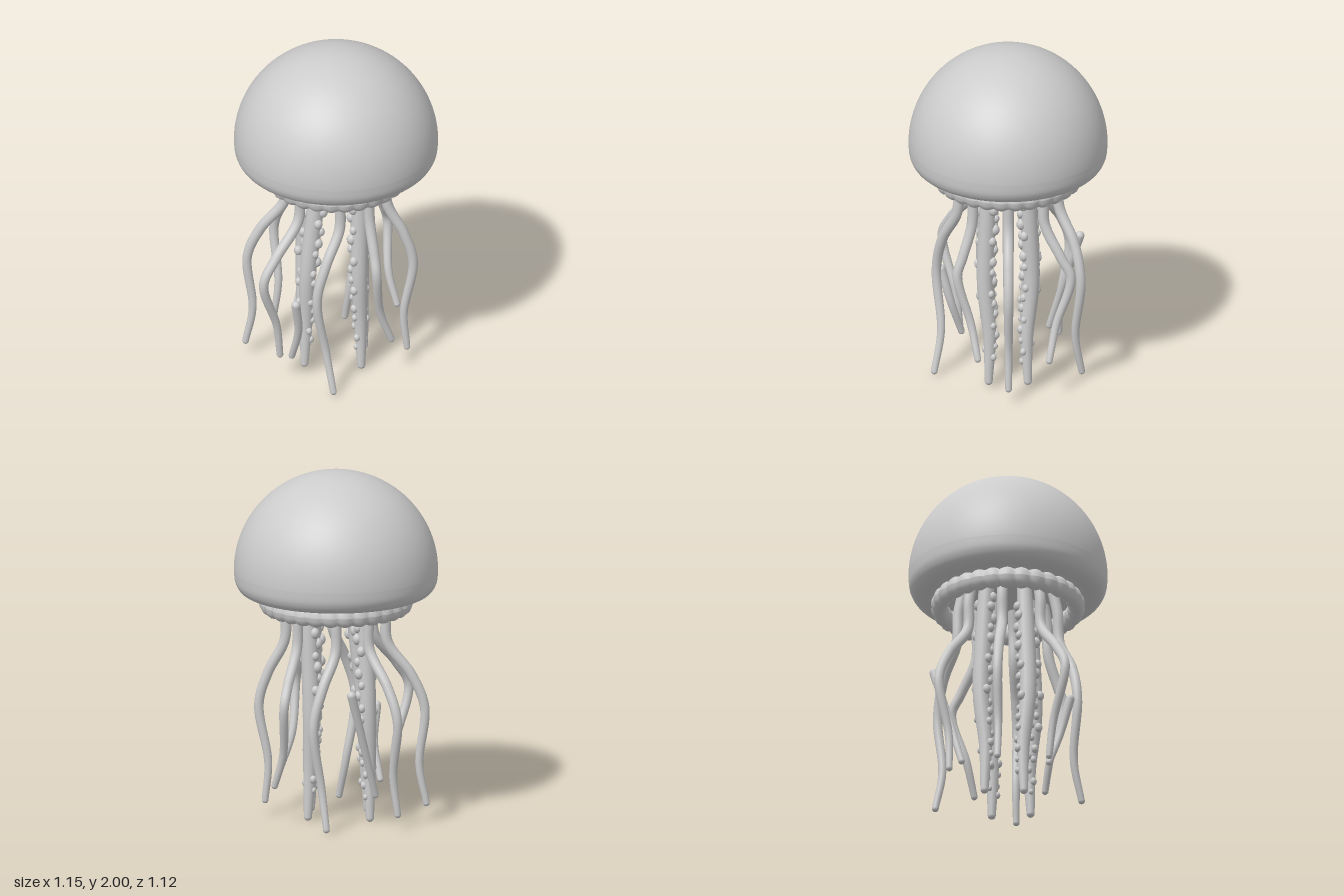
import * as THREE from 'three';

const material = new THREE.MeshStandardMaterial({ color: 0xcccccc });
const { lerp, degToRad } = THREE.MathUtils;

function addMesh(parent, geometry, name) {
  const mesh = new THREE.Mesh(geometry, material);
  mesh.name = name;
  parent.add(mesh);
  return mesh;
}

// Point at an angle (degrees), distance from the axis and height
function polar(angle, r, y) {
  const a = degToRad(angle);
  return new THREE.Vector3(r * Math.cos(a), y, r * Math.sin(a));
}

// Tube along a curve whose radius follows radiusAt(t), with both ends rounded
function addTaperedTube(parent, curve, radiusAt, name, segments = 64, sides = 14) {
  const geometry = new THREE.TubeGeometry(curve, segments, 1, sides, false);
  const pos = geometry.attributes.position;
  const v = new THREE.Vector3();
  for (let i = 0; i <= segments; i++) {
    const centre = curve.getPointAt(i / segments);
    for (let j = 0; j <= sides; j++) {
      const k = i * (sides + 1) + j;
      v.fromBufferAttribute(pos, k).sub(centre).multiplyScalar(radiusAt(i / segments)).add(centre);
      pos.setXYZ(k, v.x, v.y, v.z);
    }
  }
  addMesh(parent, geometry, name);
  for (const t of [0, 1]) {
    const end = addMesh(parent, new THREE.SphereGeometry(radiusAt(t), 14, 10), name + 'End');
    end.position.copy(curve.getPointAt(t));
  }
}

// Elliptical dome with rolled rim and shallow hollow underside
function buildBell(group) {
  const underside = [[0, 1.35], [0.34, 1.32], [0.46, 1.293], [0.53, 1.31], [0.566, 1.36], [0.575, 1.43]];
  const profile = new THREE.SplineCurve(underside.map(([r, y]) => new THREE.Vector2(r, y))).getPoints(40);
  for (let i = 1; i <= 40; i++) {
    const a = (i / 40) * (Math.PI / 2);
    profile.push(new THREE.Vector2(0.575 * Math.cos(a), 1.43 + 0.57 * Math.sin(a)));
  }
  const bell = addMesh(group, new THREE.LatheGeometry(profile, 96), 'bell');
  bell.scale.z = 0.975;
}

// Softly scalloped ring beneath the rim
function buildFrill(group) {
  const ringR = 0.385, ringY = 1.25;
  const section = [];
  for (let i = 0; i <= 16; i++) {
    const a = (i / 16) * Math.PI * 2;
    section.push(new THREE.Vector2(ringR + 0.05 * Math.cos(a), ringY + 0.062 * Math.sin(a)));
  }
  const geometry = new THREE.LatheGeometry(section, 256);
  const pos = geometry.attributes.position;
  for (let i = 0; i < pos.count; i++) {
    const x = pos.getX(i), z = pos.getZ(i);
    const r = Math.hypot(x, z);
    const swell = 0.8 + 0.2 * Math.abs(Math.sin(15 * Math.atan2(z, x)));
    const newR = ringR + (r - ringR) * swell;
    pos.setXYZ(i, (x * newR) / r, ringY + (pos.getY(i) - ringY) * swell, (z * newR) / r);
  }
  geometry.computeVertexNormals();
  addMesh(group, geometry, 'frill');
}

// Slender tentacles: hang straight, swing out to a bulge, draw in, flick at the tip
function buildTentacles(group) {
  // root angle, bulge angle, bulge radius, tip angle, tip radius, tip height
  const tentacles = [
    [0, 0, 0.435, 0, 0.4, 0.09],
    [180, 180, 0.5, 180, 0.51, 0.09],
    [82, 101, 0.41, 88, 0.415, 0.025],
    [-94, -77, 0.42, -87, 0.415, 0.025],
    [45, 49, 0.38, 28, 0.367, 0.24],
    [-45, -53, 0.44, -35, 0.4, 0.23],
    [133, 136, 0.53, 138, 0.4, 0.17],
    [-135, -137, 0.51, -142, 0.47, 0.09],
  ];
  tentacles.forEach(([root, mid, bulge, end, tipR, tipY]) => {
    const height = (f) => lerp(tipY, 1.2, f);
    const curve = new THREE.CatmullRomCurve3([
      polar(root, 0.25, 1.35),
      polar(root, 0.28, 1.2),
      polar(root, 0.29, 1.02),
      polar(lerp(root, mid, 0.65), lerp(0.29, bulge, 0.65), 0.83),
      polar(mid, bulge, height(0.5)),
      polar(lerp(mid, end, 0.5), (bulge + tipR) / 2 - 0.035, height(0.2)),
      polar(end, tipR, tipY),
    ]);
    addTaperedTube(group, curve, (t) => 0.031 - 0.012 * t * t, 'tentacle');
  });

  // Two short loose strands: x, y, z from top to tip
  const strands = [
    [[-0.2, 0.56, 0.375], [-0.19, 0.36, 0.32], [-0.23, 0.16, 0.26]],
    [[-0.12, 0.8, -0.405], [-0.18, 0.5, -0.32], [-0.24, 0.19, -0.235]],
  ];
  strands.forEach((points) => {
    const curve = new THREE.CatmullRomCurve3(points.map((p) => new THREE.Vector3(...p)));
    addTaperedTube(group, curve, (t) => 0.026 - 0.007 * t, 'looseStrand', 32);
  });
}

// Four thick central arms with rows of round nodules
function buildArms(group) {
  // x at the top, middle and tip, then the side in z
  const arms = [[0.14, 0.14, 0.15, 1], [0.15, 0.13, 0.15, -1], [-0.07, -0.15, -0.17, 1], [-0.16, -0.19, -0.2, -1]];
  const nodule = new THREE.SphereGeometry(1, 12, 8);
  arms.forEach(([topX, midX, tipX, side], index) => {
    const arm = new THREE.Group();
    arm.name = 'oralArm';
    group.add(arm);
    const curve = new THREE.CatmullRomCurve3([
      new THREE.Vector3(topX, 1.36, 0.1 * side),
      new THREE.Vector3(lerp(topX, midX, 0.6), 0.95, 0.12 * side),
      new THREE.Vector3(midX, 0.62, 0.13 * side),
      new THREE.Vector3(lerp(midX, tipX, 0.5), 0.3, 0.105 * side),
      new THREE.Vector3(tipX, 0.025, 0.11 * side),
    ]);
    const radiusAt = (t) => 0.041 + 0.012 * Math.sin(t * Math.PI) - 0.018 * t * t;
    addTaperedTube(arm, curve, radiusAt, 'armStem');

    const outward = Math.atan2(side * 0.13, midX);
    for (let i = 0; i < 34; i++) {
      const t = 0.1 + i * 0.0245;
      const turn = (i % 2 ? 1 : -1) * (1.9 + 0.45 * Math.sin(i * 1.15 + index));
      const reach = radiusAt(t) * 0.95;
      const size = (0.029 + 0.004 * Math.sin(i * 1.85 + index * 2)) * (1 - 0.45 * t);
      const bump = addMesh(arm, nodule, 'nodule');
      const offset = new THREE.Vector3(Math.cos(outward + turn), 0, Math.sin(outward + turn));
      bump.position.copy(curve.getPointAt(t)).addScaledVector(offset, reach);
      bump.scale.set(size, size * 1.2, size);
    }
  });
}

export function createModel() {
  const group = new THREE.Group();
  group.name = 'jellyfish';
  buildBell(group);
  buildFrill(group);
  buildTentacles(group);
  buildArms(group);
  return group;
}
